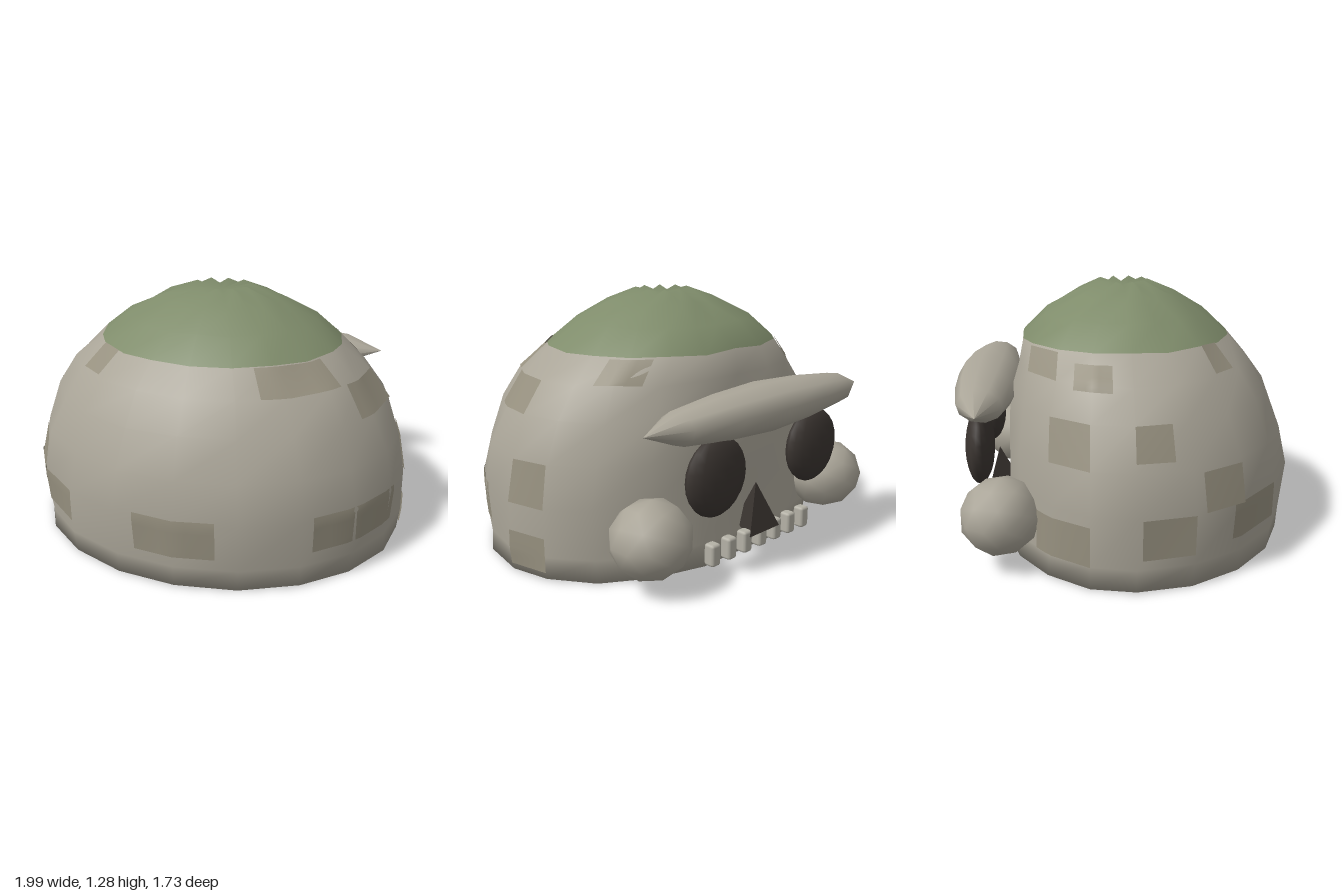
import * as THREE from 'three';
import { RoundedBoxGeometry } from 'three/addons/geometries/RoundedBoxGeometry.js';

const N = 20; // points around each ring
const CAP_RING = 6; // ring where the moss begins
// y, half width, front depth, back depth
const RINGS = [
  [0.012, 0.985, 0.84, 0.62], [0.12, 0.99, 0.85, 0.61], [0.36, 1.0, 0.868, 0.6],
  [0.56, 0.96, 0.83, 0.595], [0.75, 0.88, 0.755, 0.58], [0.9, 0.78, 0.66, 0.54],
  [1.02, 0.64, 0.55, 0.52], [1.13, 0.5, 0.42, 0.4], [1.22, 0.32, 0.27, 0.25],
  [1.27, 0.15, 0.13, 0.13],
];

const paint = (color, side = THREE.FrontSide) => new THREE.MeshStandardMaterial({ color, side });

// One point of a ring: rounded in front, flattened where the face sits
function ringPoint(r, j) {
  const [y, rx, zf, zb] = RINGS[r];
  const k = ((j % N) + N) % N;
  const a = (k / N) * Math.PI * 2;
  const s = Math.sin(a);
  const wobble = Math.sin(k * 2.7 + r * 1.9);
  const fold = r >= 8 ? (k % 2 ? 0.012 : -0.012) * (r - 7) * 0.6 : 0.006 * wobble;
  const scale = 1 + 0.008 * (wobble - 1);
  const z = s > 0 ? s * zf : Math.max(s * zb * 1.09, -zb);
  return new THREE.Vector3(Math.cos(a) * rx * scale, y + fold, z * scale);
}

// Surface point between rings, pushed out a little
function surfacePoint(u, v, lift) {
  const j = Math.floor(u), r = Math.min(Math.floor(v), RINGS.length - 2);
  const low = ringPoint(r, j).lerp(ringPoint(r, j + 1), u - j);
  const high = ringPoint(r + 1, j).lerp(ringPoint(r + 1, j + 1), u - j);
  const p = low.lerp(high, v - r);
  const out = new THREE.Vector3(p.x, Math.max(p.y - 0.4, 0) * 0.8, p.z).normalize();
  return p.addScaledVector(out, lift);
}

// Dome split into stone and moss sharing the same vertices and normals
function domeGeometries() {
  const pos = [], stone = [], moss = [];
  RINGS.forEach((_, r) => {
    for (let j = 0; j < N; j++) pos.push(...ringPoint(r, j).toArray());
  });
  const top = RINGS.length * N, bottom = top + 1;
  pos.push(0, 1.255, 0, 0, 0.02, 0.1);
  for (let j = 0; j < N; j++) {
    const k = (j + 1) % N;
    for (let r = 0; r < RINGS.length - 1; r++) {
      const a = r * N + j, b = r * N + k;
      (r < CAP_RING ? stone : moss).push(a, a + N, b, b, a + N, b + N);
    }
    moss.push(top - N + j, top, top - N + k);
    stone.push(bottom, j, k);
  }
  const whole = new THREE.BufferGeometry();
  whole.setAttribute('position', new THREE.Float32BufferAttribute(pos, 3));
  whole.setIndex([...stone, ...moss]);
  whole.computeVertexNormals();
  return [stone, moss].map((index) => whole.clone().setIndex(index));
}

// Thin weathered patch following the dome
function patchGeometry([u0, u1, v0, v1]) {
  const n = 6, pos = [], index = [];
  for (let i = 0; i <= n; i++) {
    for (let j = 0; j <= n; j++) {
      const p = surfacePoint(u0 + ((u1 - u0) * j) / n, v0 + ((v1 - v0) * i) / n, 0.007);
      pos.push(p.x, p.y, p.z);
      if (i < n && j < n) {
        const a = i * (n + 1) + j, c = a + n + 1;
        index.push(a, c, a + 1, a + 1, c, c + 1);
      }
    }
  }
  const g = new THREE.BufferGeometry();
  g.setAttribute('position', new THREE.Float32BufferAttribute(pos, 3));
  g.setIndex(index);
  g.computeVertexNormals();
  return g;
}

export function createModel() {
  const model = new THREE.Group();
  const stoneMat = paint(0xaaa598), darkMat = paint(0x3a3430);
  const patchMat = paint(0x96907f, THREE.DoubleSide);

  const add = (name, geometry, material, x = 0, y = 0, z = 0) => {
    const mesh = new THREE.Mesh(geometry, material);
    mesh.name = name;
    mesh.position.set(x, y, z);
    model.add(mesh);
    return mesh;
  };

  // Dome and moss cap
  const [stone, moss] = domeGeometries();
  add('stoneDome', stone, stoneMat);
  add('mossCap', moss, paint(0x7f8c6b));

  // Weathered patches: start and end around, start and end in height
  [
    [1.6, 3.5, 5, 5.95], [0, 1.4, 4, 5], [-1, 0, 2, 3], [0.85, 2.8, 1.3, 2.1],
    [-1, 0, 0.3, 1.4], [4.35, 5.65, 1.25, 2.1], [7, 8.2, 1.3, 2.05], [8, 8.8, 2, 2.9],
    [7.2, 7.9, 5.1, 6], [9, 9.9, 1.2, 2], [10.5, 11.5, 4.8, 5.6], [12, 13, 5, 5.9],
    [17.4, 18.5, 5, 5.9], [9.3, 10, 3.2, 4], [11, 12, 3, 4], [11, 12.4, 1, 1.8],
  ].forEach((area) => add('stonePatch', patchGeometry(area), patchMat));

  // Brow: a spindle across the face
  const profile = [[0, -0.78], [0.11, -0.58], [0.15, -0.3], [0.17, 0], [0.15, 0.3], [0.11, 0.58], [0, 0.78]]
    .map(([r, h]) => new THREE.Vector2(r, h));
  const brow = new THREE.LatheGeometry(profile, 10);
  brow.rotateZ(Math.PI / 2).scale(1, 0.72, 1).rotateX(0.12);
  add('brow', brow, stoneMat, 0, 0.77, -0.7);

  // Eye sockets and cheeks
  for (const side of [1, -1]) {
    const name = side > 0 ? 'left' : 'right';
    const eye = add(name + 'Eye', new THREE.SphereGeometry(1, 16, 12), darkMat, side * 0.36, 0.51, -0.73);
    eye.scale.set(0.19, 0.19, 0.07);
    const cheek = add(name + 'Cheek', new THREE.IcosahedronGeometry(1, 1), stoneMat, side * 0.655, 0.26, -0.615);
    cheek.scale.set(0.21, 0.185, 0.19);
    cheek.rotation.y = side * 0.3;
  }

  // Nose hole: three-sided pyramid with a flat face outwards
  const nose = new THREE.ConeGeometry(0.13, 0.24, 3).toNonIndexed();
  nose.computeVertexNormals();
  add('nose', nose, darkMat, 0, 0.26, -0.67);

  // Teeth
  const tooth = new RoundedBoxGeometry(0.06, 0.11, 0.06, 1, 0.014);
  const toothMat = paint(0xb4b1a6);
  for (let i = -3; i <= 3; i++) add('tooth', tooth, toothMat, i * 0.114, 0.115, -0.7);

  return model;
}
